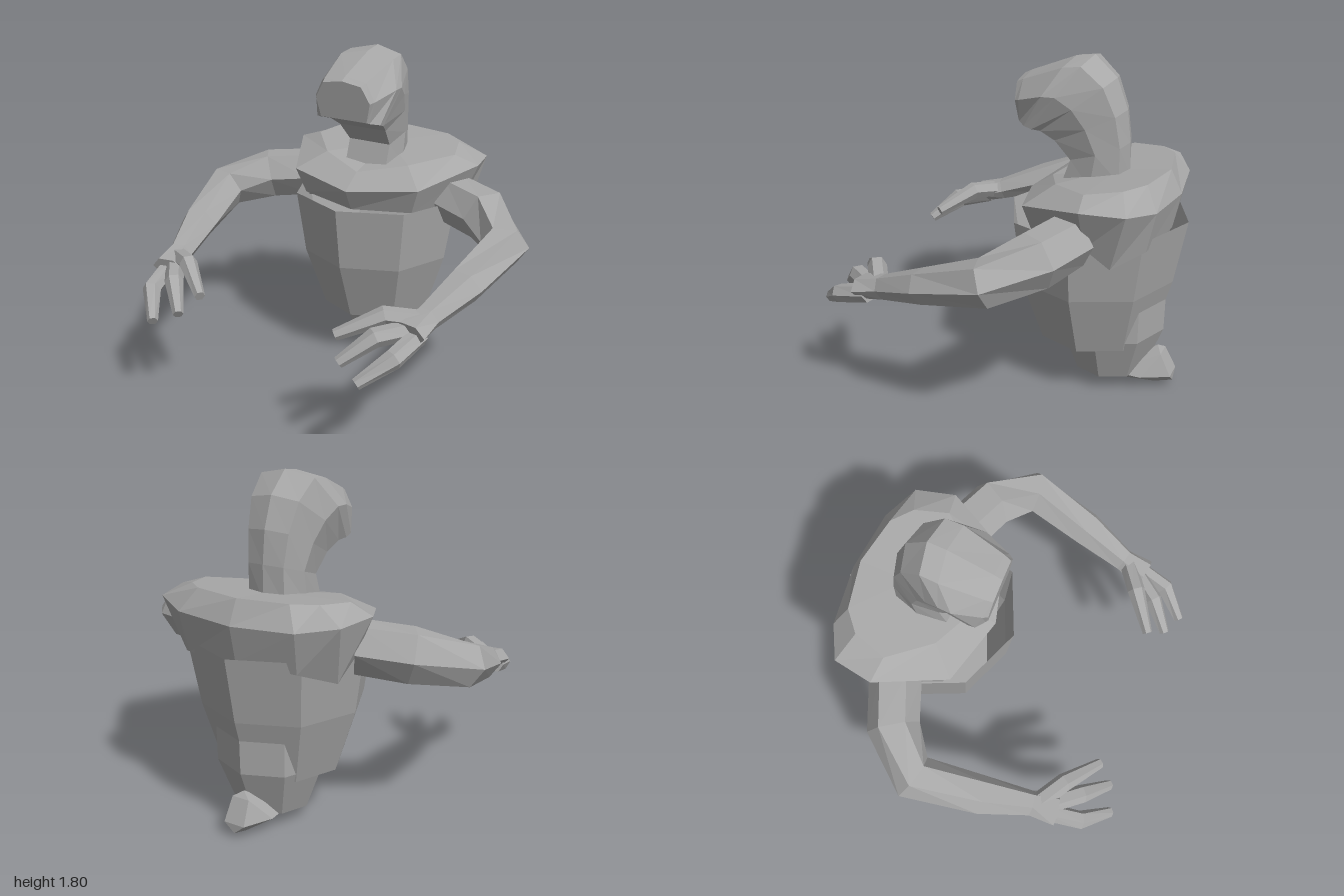
import * as THREE from 'three';
import { ConvexGeometry } from 'three/addons/geometries/ConvexGeometry.js';

const V = (x, y, z) => new THREE.Vector3(x, y, z);
const grey = new THREE.MeshStandardMaterial({ color: 0xa8a8a8, flatShading: true, side: THREE.DoubleSide });
grey.name = 'stone grey';

// Skin a list of closed rings; faces are turned outward by the sign of the volume
function loft(rings, capStart = true, capEnd = true) {
  const tris = [], n = rings[0].length;
  for (let i = 0; i < rings.length - 1; i++) {
    for (let j = 0; j < n; j++) {
      const k = (j + 1) % n, a = rings[i], b = rings[i + 1];
      tris.push([a[j], a[k], b[k]], [a[j], b[k], b[j]]);
    }
  }
  const cap = (ring, flip) => {
    const c = ring.reduce((s, p) => s.add(p), V(0, 0, 0)).divideScalar(n);
    for (let j = 0; j < n; j++) {
      const k = (j + 1) % n;
      tris.push(flip ? [c, ring[k], ring[j]] : [c, ring[j], ring[k]]);
    }
    return c;
  };
  if (capStart) cap(rings[0], true);
  if (capEnd) cap(rings[rings.length - 1], false);
  const o = rings[0][0];
  let volume = 0;
  for (const [a, b, c] of tris) {
    volume += a.clone().sub(o).dot(b.clone().sub(o).cross(c.clone().sub(o)));
  }
  const pts = tris.flatMap(([a, b, c]) => (volume < 0 ? [a, c, b] : [a, b, c]));
  const g = new THREE.BufferGeometry().setFromPoints(pts);
  g.computeVertexNormals();
  return g;
}

// Faceted limb through stations [x, y, z, width radius, height radius]
function limb(stations, side, sides = 6) {
  const pts = stations.map(s => V(s[0] * side, s[1], s[2]));
  return loft(stations.map((s, i) => {
    const a = pts[Math.max(i - 1, 0)], b = pts[Math.min(i + 1, pts.length - 1)];
    const dir = b.clone().sub(a).normalize();
    const across = V(0, 1, 0).cross(dir).normalize();
    const up = dir.clone().cross(across);
    return Array.from({ length: sides }, (_, j) => {
      const t = (j / sides) * Math.PI * 2;
      return pts[i].clone()
        .addScaledVector(across, Math.cos(t) * s[3])
        .addScaledVector(up, Math.sin(t) * s[4]);
    });
  }));
}

// Eight-sided horizontal ring
const octagon = (y, r, z) => Array.from({ length: 8 }, (_, i) =>
  V(Math.sin(i * Math.PI / 4) * r, y, z + Math.cos(i * Math.PI / 4) * r));

// Half ring from front centre to back centre, completed by mirroring
const mirrorRing = half => [
  ...half.map(p => V(...p)),
  ...half.slice(1, -1).reverse().map(p => V(-p[0], p[1], p[2])),
];

export function createModel() {
  const model = new THREE.Group();
  const add = (name, geometry, parent = model) => {
    const mesh = new THREE.Mesh(geometry, grey);
    mesh.name = name;
    parent.add(mesh);
  };

  // Tapered trunk, open at the top under the shoulders
  add('torso', loft([octagon(0.97, 0.485, -0.42), octagon(0.62, 0.43, -0.41), octagon(0.28, 0.32, -0.42)], false, true));
  add('waist', loft([octagon(0.62, 0.3, -0.51), octagon(0.33, 0.295, -0.51), octagon(0.08, 0.2, -0.51)]));

  // Stubby tail under the waist
  const tail = [V(0, 0.06, -0.47), V(0, 0, -0.77), V(0, 0.03, -0.87), V(0, 0.23, -0.78)];
  for (const s of [-1, 1]) {
    tail.push(V(0.12 * s, 0.08, -0.55), V(0.13 * s, 0.08, -0.72), V(0.06 * s, 0.08, -0.87),
      V(0.05 * s, 0.2, -0.81), V(0.07 * s, 0.03, -0.6));
  }
  add('tail', new ConvexGeometry(tail));

  // Broad shoulder yoke
  add('shoulders', loft([
    [[0, 0.93, -0.1], [0.34, 0.95, -0.17], [0.48, 0.95, -0.5], [0.46, 0.85, -0.63], [0.32, 0.91, -0.77], [0, 0.93, -0.82]],
    [[0, 1.05, -0.04], [0.39, 1.09, -0.14], [0.575, 1.17, -0.5], [0.53, 1.16, -0.72], [0.34, 1.13, -0.82], [0, 1.12, -0.86]],
    [[0, 1.13, -0.16], [0.26, 1.18, -0.27], [0.44, 1.215, -0.48], [0.38, 1.235, -0.66], [0.27, 1.245, -0.75], [0, 1.245, -0.8]],
  ].map(mirrorRing)));

  // Neck curling forward into the head: back z, y; front z, y; half-width
  const headStations = [
    [-0.585, 1.18, -0.24, 1.1, 0.15],
    [-0.58, 1.36, -0.3, 1.27, 0.15],
    [-0.56, 1.53, -0.22, 1.37, 0.17],
    [-0.5, 1.69, -0.15, 1.42, 0.2],
    [-0.38, 1.8, -0.11, 1.43, 0.225],
    [-0.28, 1.785, -0.07, 1.445, 0.23],
    [-0.04, 1.69, -0.03, 1.455, 0.18],
    [0, 1.67, -0.02, 1.46, 0.165],
  ];
  add('neckAndHead', loft(headStations.map(([bz, by, fz, fy, w]) => {
    const at = (t, k) => [w * k, by + (fy - by) * t, bz + (fz - bz) * t];
    return mirrorRing([at(0, 0), at(0.09, 0.7), at(0.5, 1), at(1, 0.85), at(1, 0)]);
  })));

  // Arms reaching forward, each with a palm and three fingers
  for (const [side, label] of [[1, 'left'], [-1, 'right']]) {
    const arm = new THREE.Group();
    arm.name = label + 'Arm';
    model.add(arm);
    add(label + 'ArmAndPalm', limb([
      [0.46, 0.98, -0.43, 0.14, 0.14],
      [0.7, 0.955, -0.34, 0.14, 0.145],
      [0.895, 0.89, -0.15, 0.125, 0.12],
      [0.835, 0.785, 0.2, 0.105, 0.09],
      [0.765, 0.7, 0.46, 0.068, 0.065],
      [0.74, 0.67, 0.6, 0.09, 0.06],
    ], side), arm);
    const fingers = [
      [[0.74, 0.7, 0.5], [0.6, 0.725, 0.59], [0.41, 0.635, 0.735]],
      [[0.73, 0.67, 0.55], [0.61, 0.66, 0.7], [0.485, 0.55, 0.825]],
      [[0.77, 0.65, 0.55], [0.735, 0.6, 0.74], [0.615, 0.5, 0.88]],
    ];
    fingers.forEach((points, i) => add(label + 'Finger' + (i + 1), limb(
      points.map((p, j) => [...p, [0.05, 0.05, 0.028][j], [0.05, 0.05, 0.03][j]]), side), arm));
  }
  return model;
}
